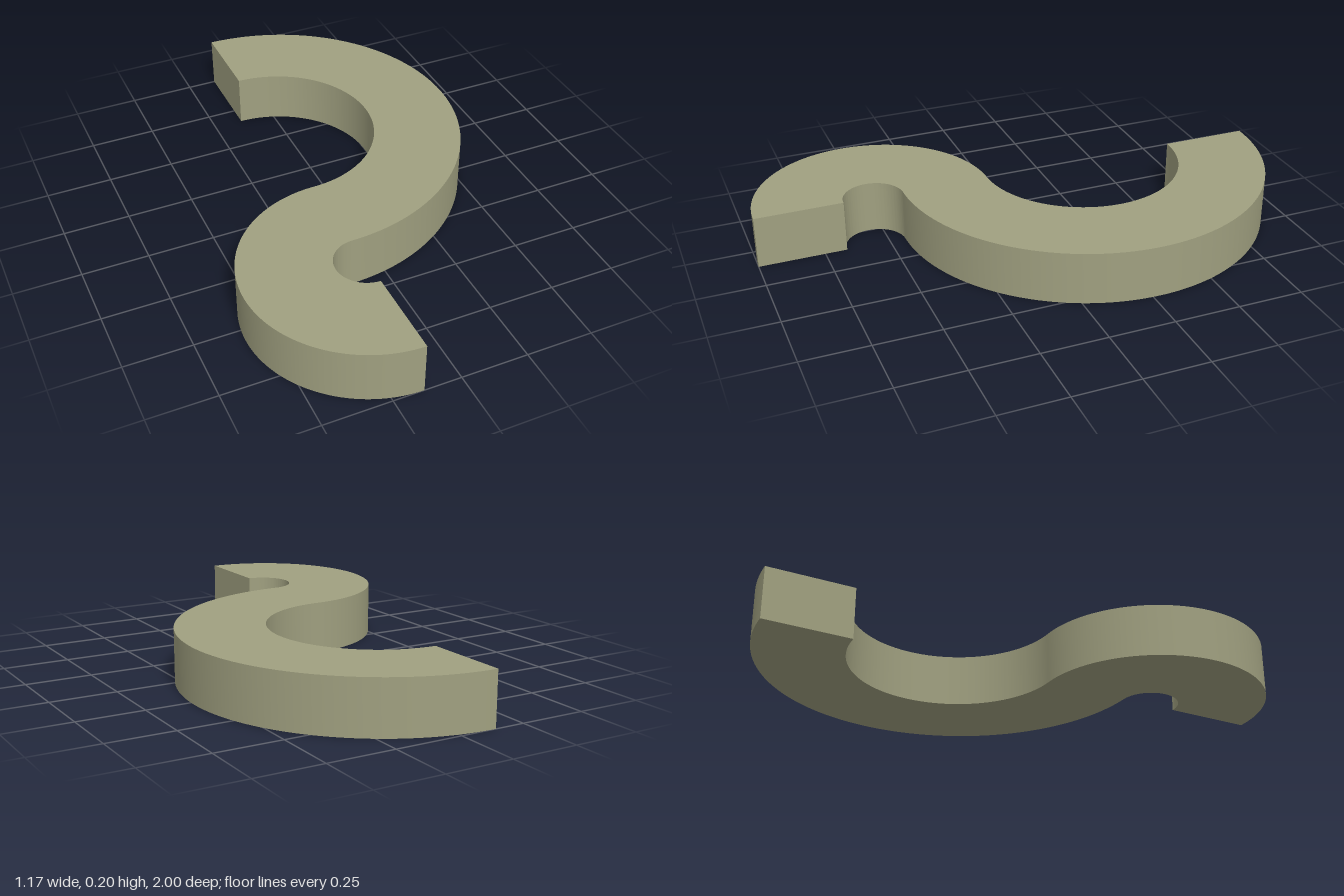
import * as THREE from 'three';
import { toCreasedNormals } from 'three/addons/utils/BufferGeometryUtils.js';

export function createModel() {
  const group = new THREE.Group();
  group.name = 'sCurve';

  const height = 0.2;
  const axisX = -0.137; // both arcs are centred on this line
  const large = { y: 0.28, outer: 0.72, inner: 0.387 };
  const small = { y: -0.5535, outer: 0.4465, inner: 0.1135 };
  const q = Math.PI / 2;

  // Outline of two opposed half rings that flow into one another
  const outline = new THREE.Shape();
  outline.moveTo(axisX, large.y + large.outer);
  outline.absarc(axisX, large.y, large.outer, q, -q, true);
  outline.absarc(axisX, small.y, small.inner, q, 3 * q, false);
  outline.lineTo(axisX, small.y - small.outer);
  outline.absarc(axisX, small.y, small.outer, 3 * q, q, true);
  outline.absarc(axisX, large.y, large.inner, -q, q, false);
  outline.closePath();

  // Lay the extruded outline flat, with smooth curved walls and sharp rims
  const solid = new THREE.ExtrudeGeometry(outline, { depth: height, bevelEnabled: false, curveSegments: 64 });
  solid.rotateX(-Math.PI / 2);
  const band = new THREE.Mesh(
    toCreasedNormals(solid, Math.PI / 6),
    new THREE.MeshStandardMaterial({ color: 0xa0a080 })
  );
  band.name = 'curvedBand';
  group.add(band);

  return group;
}
